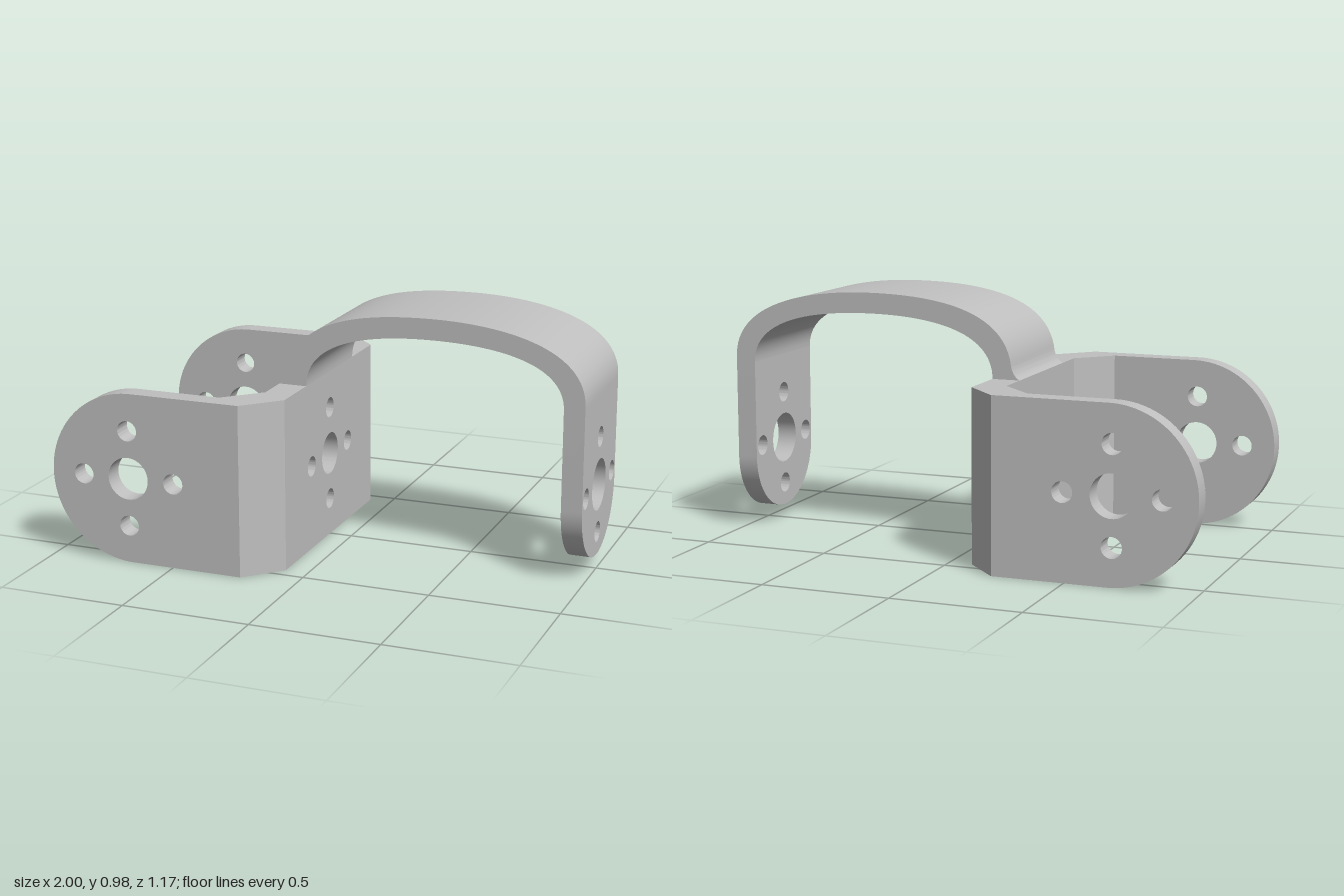
import * as THREE from 'three';
import { toCreasedNormals } from 'three/addons/utils/BufferGeometryUtils.js';

const H = 0.67;          // bracket height
const MID = H / 2;       // height of every hole pattern

// One large hole with four small ones around it
function addHoles(shape, cx, cy, bigRadius) {
  const hole = (x, y, r) => {
    const p = new THREE.Path();
    p.absarc(x, y, r, 0, Math.PI * 2, true);
    shape.holes.push(p);
  };
  hole(cx, cy, bigRadius);
  for (const [dx, dy] of [[1, 0], [-1, 0], [0, 1], [0, -1]]) {
    hole(cx + dx * 0.188, cy + dy * 0.188, 0.04);
  }
}

function extrude(shape, depth) {
  return new THREE.ExtrudeGeometry(shape, { depth, bevelEnabled: false, curveSegments: 32 });
}

export function createModel() {
  const model = new THREE.Group();
  model.name = 'servoBracket';
  const metal = new THREE.MeshStandardMaterial({ color: 0xbfbfbf });
  metal.name = 'greyMetal';

  const add = (name, geometry) => {
    const mesh = new THREE.Mesh(toCreasedNormals(geometry, 0.5), metal);
    mesh.name = name;
    model.add(mesh);
  };

  // Round-ended side plate, shared by both sides
  const side = new THREE.Shape();
  side.moveTo(-0.33, 0);
  side.lineTo(-0.33, H);
  side.lineTo(-0.665, H);
  side.absarc(-0.665, MID, MID, Math.PI / 2, Math.PI * 1.5, false);
  addHoles(side, -0.68, MID, 0.083);

  for (const s of [1, -1]) {
    const label = s > 0 ? 'front' : 'back';
    add(label + 'SidePlate', extrude(side, 0.08).translate(0, 0, s > 0 ? 0.505 : -0.585));

    // Chamfered corner joining the side plate to the web
    const corner = new THREE.Shape([
      [-0.33, 0.505], [-0.33, 0.585], [-0.22, 0.585],
      [-0.09, 0.45], [-0.09, 0.375], [-0.2, 0.375],
    ].map(([x, z]) => new THREE.Vector2(x, -s * z)));
    add(label + 'Corner', extrude(corner, H).rotateX(-Math.PI / 2));
  }

  // Web plate between the corners
  const web = new THREE.Shape();
  web.moveTo(-0.375, 0);
  web.lineTo(0.375, 0);
  web.lineTo(0.375, H);
  web.lineTo(-0.375, H);
  addHoles(web, 0, MID, 0.083);
  add('webPlate', extrude(web, 0.11).rotateY(Math.PI / 2).translate(-0.2, 0, 0));

  // Arched strap, drawn in side profile
  const strap = new THREE.Shape();
  strap.moveTo(-0.2, H);
  strap.quadraticCurveTo(-0.175, 0.68, -0.165, 0.72);
  strap.bezierCurveTo(-0.14, 0.93, 0.13, 0.975, 0.415, 0.975);
  strap.bezierCurveTo(0.7, 0.975, 1, 0.91, 1, 0.7);
  strap.lineTo(1, 0.68);
  strap.lineTo(0.92, 0.68);
  strap.bezierCurveTo(0.92, 0.86, 0.64, 0.895, 0.415, 0.895);
  strap.bezierCurveTo(0.19, 0.895, -0.09, 0.86, -0.09, H);
  add('archedStrap', extrude(strap, 0.48).translate(0, 0, -0.24));

  // Hanging tab with a round lower end
  const tab = new THREE.Shape();
  tab.moveTo(0.24, 0.68);
  tab.lineTo(-0.24, 0.68);
  tab.lineTo(-0.24, 0.297);
  tab.absarc(0, 0.297, 0.24, Math.PI, Math.PI * 2, false);
  addHoles(tab, 0, MID, 0.1);
  add('hangingTab', extrude(tab, 0.08).rotateY(Math.PI / 2).translate(0.92, 0, 0));

  return model;
}
